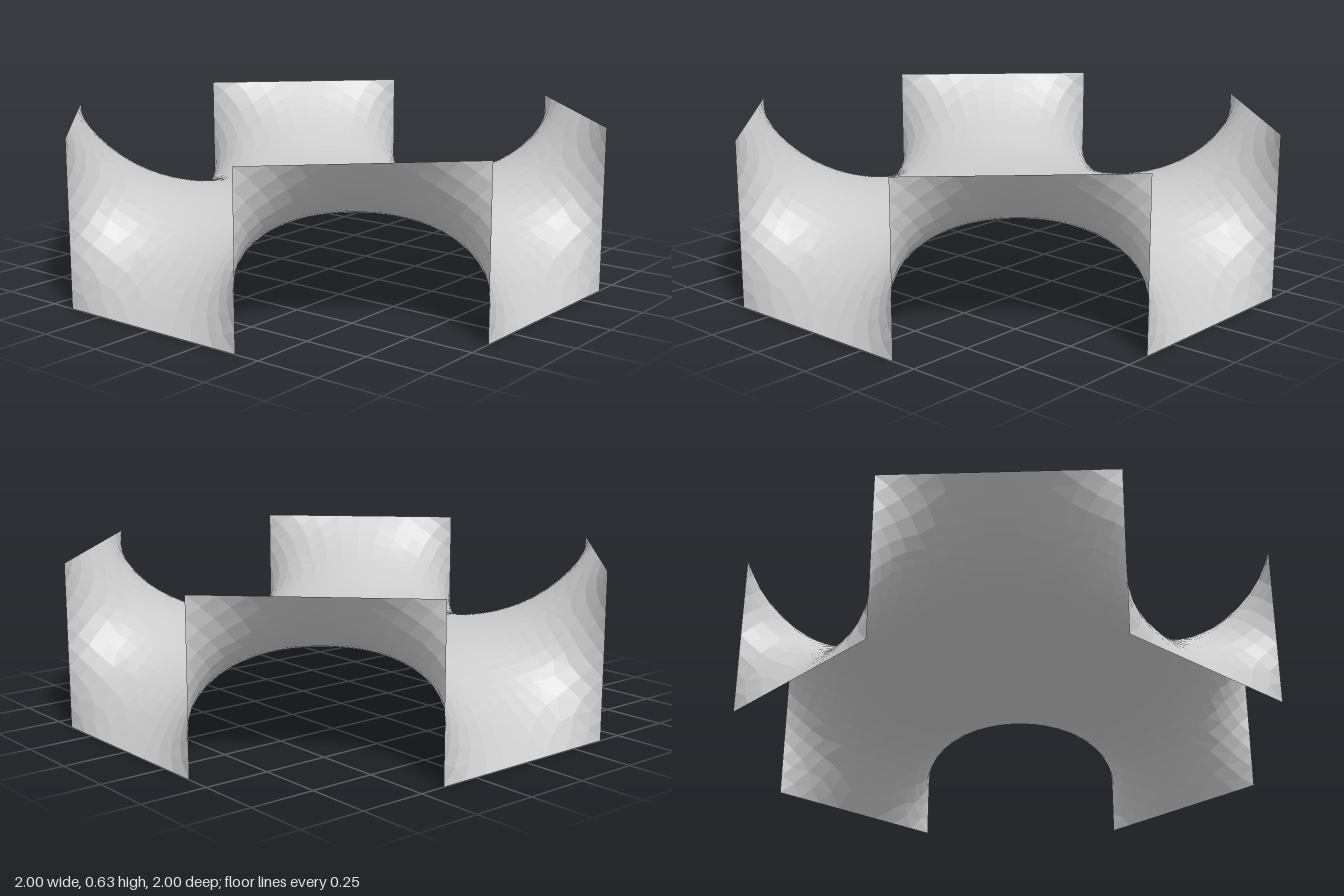
import * as THREE from 'three';

const HEIGHT = 0.63, HALF = 0.4;      // canopy height, half width of the low edges
const STEPS = 8, RINGS = 34, SHRINK = 0.93;

// Closed frame: four low edges and four high diagonal edges joined by uprights
function framePoints() {
  const corners = [];
  for (let q = 0; q < 4; q++) {
    for (const [x, y, z] of [[1, 0, -HALF], [1, 0, HALF], [1, HEIGHT, HALF], [HALF, HEIGHT, 1]]) {
      const p = new THREE.Vector3(x, y, z);
      for (let i = 0; i < q; i++) p.set(-p.z, p.y, p.x);
      corners.push(p);
    }
  }
  return corners.flatMap((p, i) => Array.from({ length: STEPS },
    (_, k) => p.clone().lerp(corners[(i + 1) % corners.length], k / STEPS)));
}

// Shrink the surface like a soap film: step down the area gradient, frame held fixed
function relax(pos, index, fixedFrom, rounds) {
  const n = pos.length / 3;
  const pull = new Float64Array(n * 3), weight = new Float64Array(n), speed = new Float64Array(n * 3);
  for (let round = 0; round < rounds; round++) {
    pull.fill(0);
    weight.fill(1e-9);
    for (let t = 0; t < index.length; t += 3) {
      for (let k = 0; k < 3; k++) {
        const c = index[t + k] * 3, i = index[t + (k + 1) % 3], j = index[t + (k + 2) % 3];
        const a = i * 3, b = j * 3;
        const ux = pos[a] - pos[c], uy = pos[a + 1] - pos[c + 1], uz = pos[a + 2] - pos[c + 2];
        const vx = pos[b] - pos[c], vy = pos[b + 1] - pos[c + 1], vz = pos[b + 2] - pos[c + 2];
        const cross = Math.hypot(uy * vz - uz * vy, uz * vx - ux * vz, ux * vy - uy * vx);
        const cot = (ux * vx + uy * vy + uz * vz) / Math.max(cross, 1e-9);
        for (let d = 0; d < 3; d++) {
          const f = cot * (pos[b + d] - pos[a + d]);
          pull[a + d] += f;
          pull[b + d] -= f;
        }
        weight[i] += Math.abs(cot);
        weight[j] += Math.abs(cot);
      }
    }
    for (let i = 0; i < fixedFrom; i++) {
      for (let d = i * 3; d < i * 3 + 3; d++) {
        speed[d] = 0.85 * speed[d] + 0.5 * pull[d] / weight[i];
        pos[d] += speed[d];
      }
    }
  }
}

function membraneGeometry() {
  const frame = framePoints(), n = frame.length;
  const centre = new THREE.Vector3(0, HEIGHT * 0.52, 0);

  // Start as a cone of rings from the centre to the frame
  const start = [...centre.toArray()];
  for (let r = 1; r <= RINGS; r++) {
    const t = SHRINK ** (RINGS - r);
    for (const p of frame) start.push(...centre.clone().lerp(p, t).toArray());
  }
  const index = [];
  const id = (r, s) => 1 + (r - 1) * n + s % n;
  for (let s = 0; s < n; s++) {
    index.push(0, id(1, s + 1), id(1, s));
    for (let r = 1; r < RINGS; r++) {
      const a = id(r, s), b = id(r, s + 1), c = id(r + 1, s + 1), d = id(r + 1, s);
      // mirror the diagonals about the middle of each frame side
      if (s % STEPS < STEPS / 2) index.push(a, b, c, a, c, d);
      else index.push(a, b, d, b, c, d);
    }
  }

  const pos = Float64Array.from(start);
  relax(pos, index, id(RINGS, 0), 1200);

  const geometry = new THREE.BufferGeometry();
  geometry.setAttribute('position', new THREE.Float32BufferAttribute(pos, 3));
  geometry.setIndex(index);
  geometry.computeVertexNormals();
  return geometry;
}

export function createModel() {
  const group = new THREE.Group();
  group.name = 'tensileCanopy';
  const material = new THREE.MeshStandardMaterial({
    color: 0xcccccc, flatShading: true, side: THREE.DoubleSide,
  });
  const membrane = new THREE.Mesh(membraneGeometry(), material);
  membrane.name = 'membrane';
  group.add(membrane);
  return group;
}
